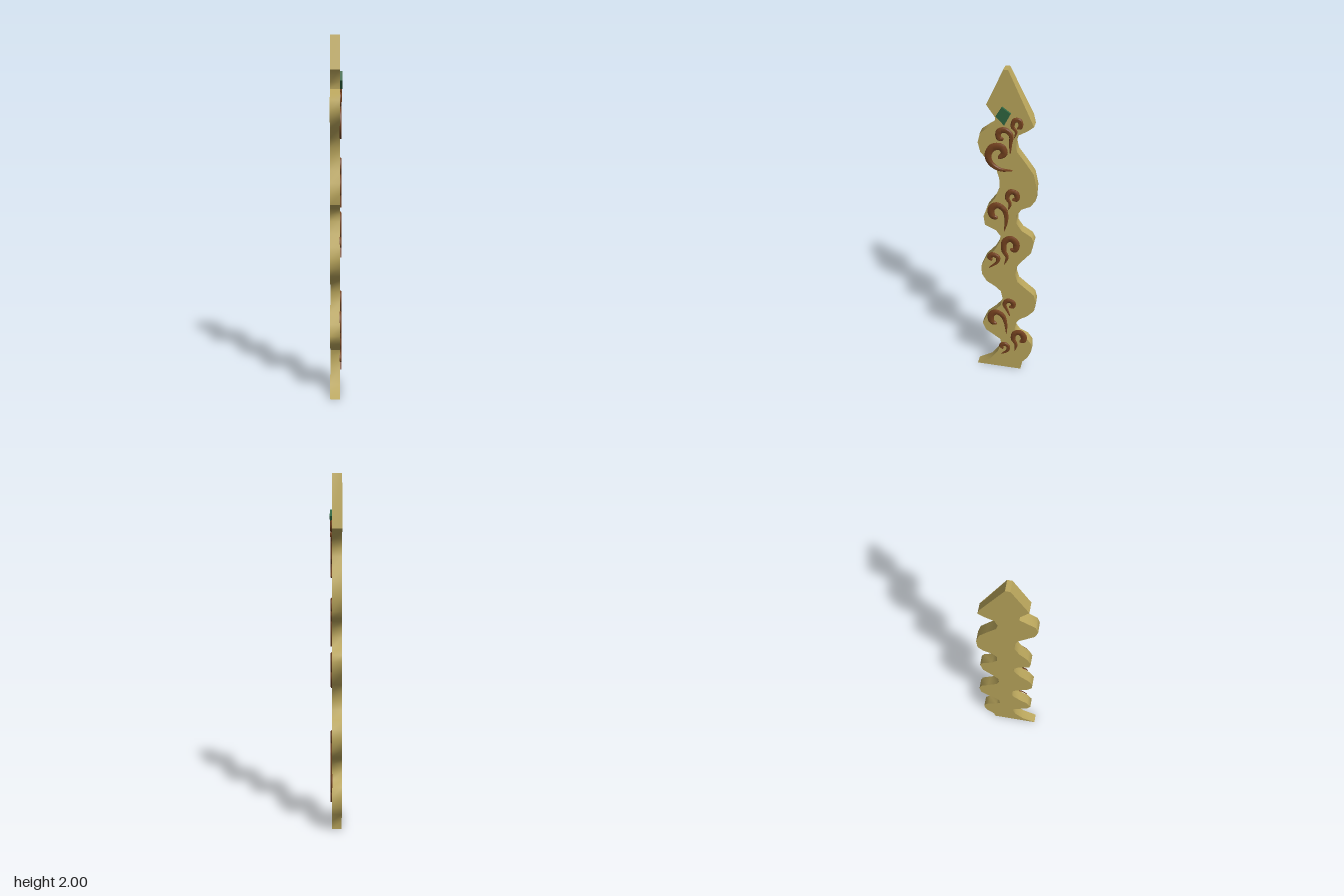
import * as THREE from 'three';
import { toCreasedNormals } from 'three/addons/utils/BufferGeometryUtils.js';

const BACK = -0.035, FACE = 0.02; // x of the two broad faces

// wavy outline as [z, y], front edge going up, then rear edge coming down
const frontEdge = [
  [.183, 0], [.098, .055], [.05, .13], [.03, .2], [.035, .235], [.077, .265], [.125, .3], [.145, .35],
  [.12, .41], [.066, .465], [.03, .515], [.02, .57], [.03, .62], [.06, .65], [.115, .685], [.142, .735],
  [.145, .79], [.12, .85], [.066, .915], [.035, .98], [.03, 1.02], [.055, 1.055], [.118, 1.085], [.125, 1.14],
  [.105, 1.2], [.06, 1.265], [.035, 1.33], [.035, 1.39], [.05, 1.445], [.1, 1.5], [.135, 1.54], [.148, 1.595],
  [.135, 1.65], [.09, 1.685], [.055, 1.71], [.055, 1.745], [.1, 1.81], [.012, 2],
];
const rearEdge = [
  [-.012, 2], [-.135, 1.755], [-.145, 1.71], [-.115, 1.685], [-.065, 1.655], [-.05, 1.605], [-.06, 1.56],
  [-.105, 1.5], [-.15, 1.435], [-.167, 1.355], [-.163, 1.275], [-.135, 1.235], [-.087, 1.21], [-.06, 1.17],
  [-.06, 1.115], [-.09, 1.07], [-.145, 1.035], [-.16, 1], [-.145, .925], [-.09, .855], [-.06, .81],
  [-.055, .755], [-.07, .705], [-.12, .66], [-.167, .62], [-.18, .57], [-.172, .5], [-.13, .45],
  [-.087, .42], [-.06, .385], [-.055, .33], [-.08, .295], [-.13, .27], [-.16, .225], [-.16, .16],
  [-.14, .11], [-.095, .05], [-.095, 0],
];

// extrude a [z, y] outline along +x
function plate(points, x0, depth) {
  const shape = new THREE.Shape(points.map(([z, y]) => new THREE.Vector2(-z, y)));
  const geo = new THREE.ExtrudeGeometry(shape, { depth, bevelEnabled: false });
  return geo.rotateY(Math.PI / 2).translate(x0, 0, 0);
}

// tapered raised scroll following [z, y] points given in hundredths
function curlGeometry(points, width) {
  const path = new THREE.CatmullRomCurve3(points.map(([z, y]) => new THREE.Vector3(FACE, y / 100, z / 100)));
  const section = [[1, -0.002], [0.95, 0.004], [0.55, 0.009], [-0.55, 0.009], [-0.95, 0.004], [-1, -0.002]];
  const steps = 36, n = section.length, pos = [], index = [];
  for (let i = 0; i <= steps; i++) {
    const t = i / steps, p = path.getPoint(t), d = path.getTangent(t);
    const w = width * Math.pow(Math.max(0, Math.sin(Math.PI * Math.pow(t, 0.65))), 0.6);
    for (const [s, h] of section) pos.push(p.x + h, p.y - d.z * w * s, p.z + d.y * w * s);
    if (i === steps) continue;
    for (let j = 0; j < n - 1; j++) {
      const a = i * n + j, b = a + n;
      index.push(a, a + 1, b, a + 1, b + 1, b);
    }
  }
  const geo = new THREE.BufferGeometry();
  geo.setAttribute('position', new THREE.Float32BufferAttribute(pos, 3));
  geo.setIndex(index);
  return toCreasedNormals(geo.toNonIndexed(), 0.7);
}

export function createModel() {
  const model = new THREE.Group();
  model.name = 'wavyBlade';
  const material = (name, color) => {
    const m = new THREE.MeshStandardMaterial({ color });
    m.name = name;
    return m;
  };
  const tan = material('tan', 0xbaa65c);
  const brown = material('brown', 0x75421f);
  const green = material('green', 0x2f6640);
  const add = (name, geo, mat) => {
    const mesh = new THREE.Mesh(geo, mat);
    mesh.name = name;
    model.add(mesh);
  };

  // blade body, its upper rear corner slanted on the decorated face
  const body = plate([...frontEdge, ...rearEdge], BACK, FACE - BACK);
  const p = body.attributes.position;
  for (let i = 0; i < p.count; i++) {
    if (p.getX(i) > 0 && p.getZ(i) < -0.13 && p.getY(i) > 1.74) p.setZ(i, -0.12);
  }
  add('blade', toCreasedNormals(body, 0.8), tan);

  // raised scrolls, bottom to top
  const curl = (width, ...points) => add('scroll', curlGeometry(points, width), brown);
  curl(.015, [1.6, 16], [2.9, 18], [.8, 20], [-1.5, 18], [-1, 14.5], [2.7, 11.5]);
  curl(.02, [-8.7, 24], [-10.8, 24.5], [-11.2, 28], [-9, 31], [-5.8, 30], [-4.6, 25.5], [-6.5, 20.5], [-5.6, 15]);
  curl(.02, [5.5, 36], [8.5, 37], [9.2, 42], [6, 45.3], [2.2, 43.5], [.2, 38], [-.5, 29]);
  curl(.016, [-2, 51], [-4.3, 51.5], [-4.2, 54.7], [-1.2, 55.5], [.8, 52.5], [-.6, 48.5], [-2.6, 44]);
  curl(.016, [8, 84.5], [9.4, 86.5], [7.4, 88.5], [4.6, 87], [5, 83.5], [9.8, 79]);
  curl(.02, [-2.6, 94], [-5.2, 93.5], [-6, 98], [-3, 101], [.6, 98.5], [1, 92], [-.8, 88], [.8, 82.5]);
  curl(.02, [4.4, 114], [7.4, 115], [8.1, 119.5], [5, 122.3], [1, 120.2], [-.4, 114], [.8, 105.5]);
  curl(.016, [-3.6, 127], [-6, 127.5], [-5.7, 131], [-2.6, 131.8], [-.8, 128], [-2.5, 124], [-1.3, 120]);
  curl(.021, [4, 151.5], [.8, 154.5], [2.2, 158], [6.8, 157.5], [9.4, 152.5], [7.5, 147.5], [2.5, 144.8], [-3.8, 145]);
  curl(.016, [1, 163], [3.4, 163], [3.5, 166.8], [.3, 168], [-2.8, 165.3], [-2.6, 160.5], [-2.4, 154.5]);
  curl(.013, [-6, 169.5], [-7.6, 170.5], [-7.2, 173.8], [-4.6, 173.8], [-3.6, 170.3], [-5.4, 167.5], [-4.5, 164]);

  // diamond gem
  add('gem', plate([[.05, 1.755], [.018, 1.808], [-.027, 1.775], [.006, 1.71]], FACE, 0.012), green);
  return model;
}
